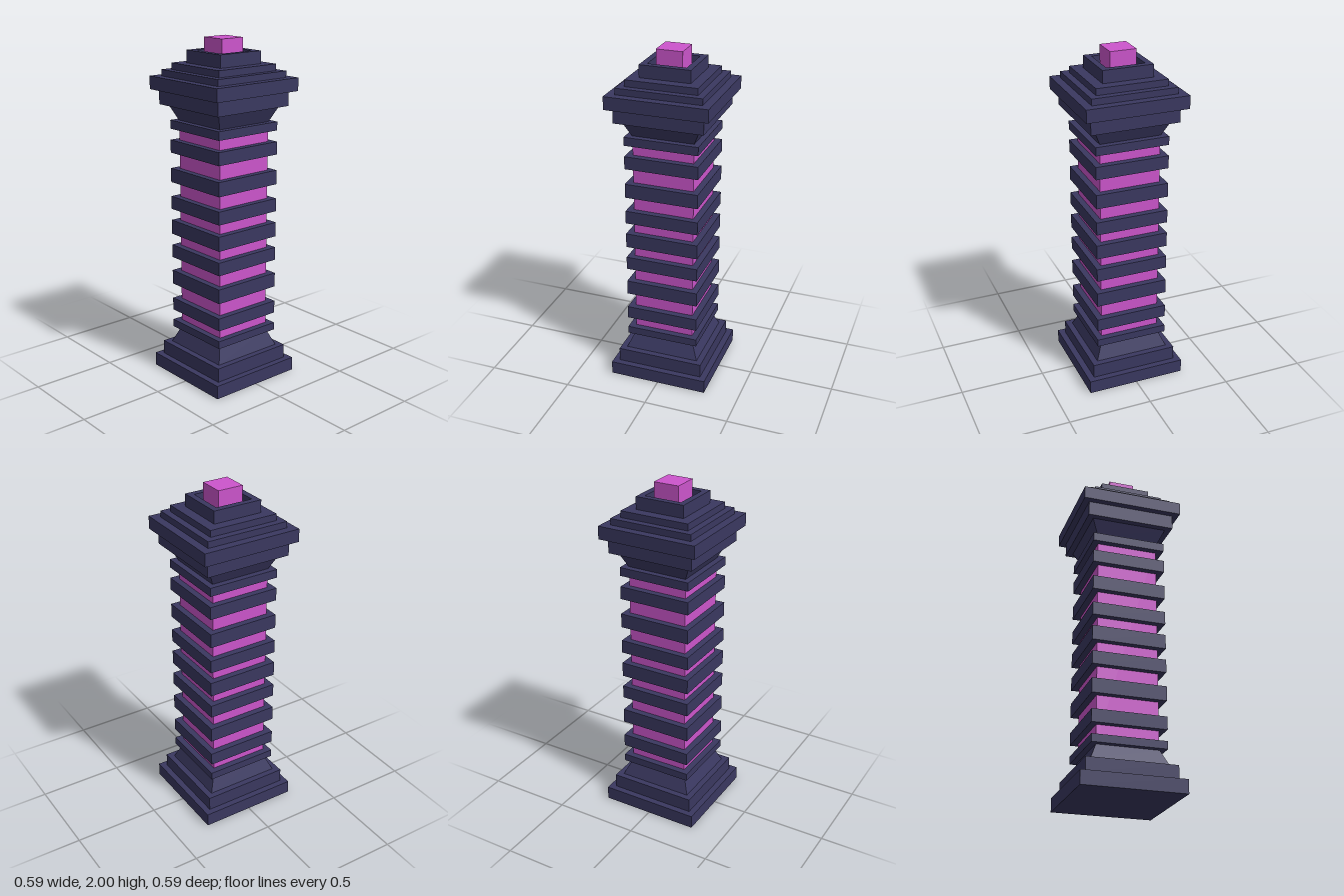
import * as THREE from 'three';

const stone = new THREE.MeshStandardMaterial({ color: 0x3a3860, flatShading: true });
const glow = new THREE.MeshStandardMaterial({ color: 0xcc55cc, flatShading: true });

export function createModel() {
  const model = new THREE.Group();

  const add = (name, geometry, material, y) => {
    const mesh = new THREE.Mesh(geometry, material);
    mesh.name = name;
    mesh.position.y = y;
    model.add(mesh);
  };

  // Square slab of half-width r between two heights
  const slab = (name, r, y0, y1, material = stone) =>
    add(name, new THREE.BoxGeometry(2 * r, y1 - y0, 2 * r), material, (y0 + y1) / 2);

  // Square tapered block, half-width r0 at the bottom and r1 at the top
  const taper = (name, r0, r1, y0, y1) => {
    const g = new THREE.CylinderGeometry(r1 * Math.SQRT2, r0 * Math.SQRT2, y1 - y0, 4);
    add(name, g.rotateY(Math.PI / 4), stone, (y0 + y1) / 2);
  };

  // Stepped base
  slab('plinth', 0.295, 0, 0.08);
  slab('baseStep', 0.258, 0.08, 0.163);
  taper('baseTaper', 0.222, 0.18, 0.163, 0.26);

  // Glowing shaft wrapped in bands
  slab('shaft', 0.178, 0.26, 1.53, glow);
  const bands = [
    [0.26, 0.305], [0.37, 0.445], [0.537, 0.622], [0.705, 0.782], [0.85, 0.935],
    [1.003, 1.08], [1.165, 1.248], [1.34, 1.415], [1.48, 1.53],
  ];
  bands.forEach(([y0, y1], i) => slab('band' + (i + 1), 0.215, y0, y1));

  // Stepped capital
  taper('capitalTaper', 0.18, 0.222, 1.53, 1.62);
  slab('capitalStep', 0.258, 1.62, 1.705);
  slab('capitalSlab', 0.295, 1.705, 1.78);
  slab('lowerRoofStep', 0.247, 1.78, 1.817);
  slab('upperRoofStep', 0.207, 1.817, 1.855);

  // Hollow square collar around the crystal
  const square = (path, r) => {
    path.moveTo(-r, -r);
    path.lineTo(r, -r);
    path.lineTo(r, r);
    path.lineTo(-r, r);
    path.closePath();
    return path;
  };
  const outline = square(new THREE.Shape(), 0.147);
  outline.holes.push(square(new THREE.Path(), 0.111));
  const collar = new THREE.ExtrudeGeometry(outline, { depth: 0.072, bevelEnabled: false });
  add('collar', collar.rotateX(-Math.PI / 2), stone, 1.855);

  // Glowing block at the tip
  slab('crystal', 0.076, 1.855, 2, glow);

  return model;
}
